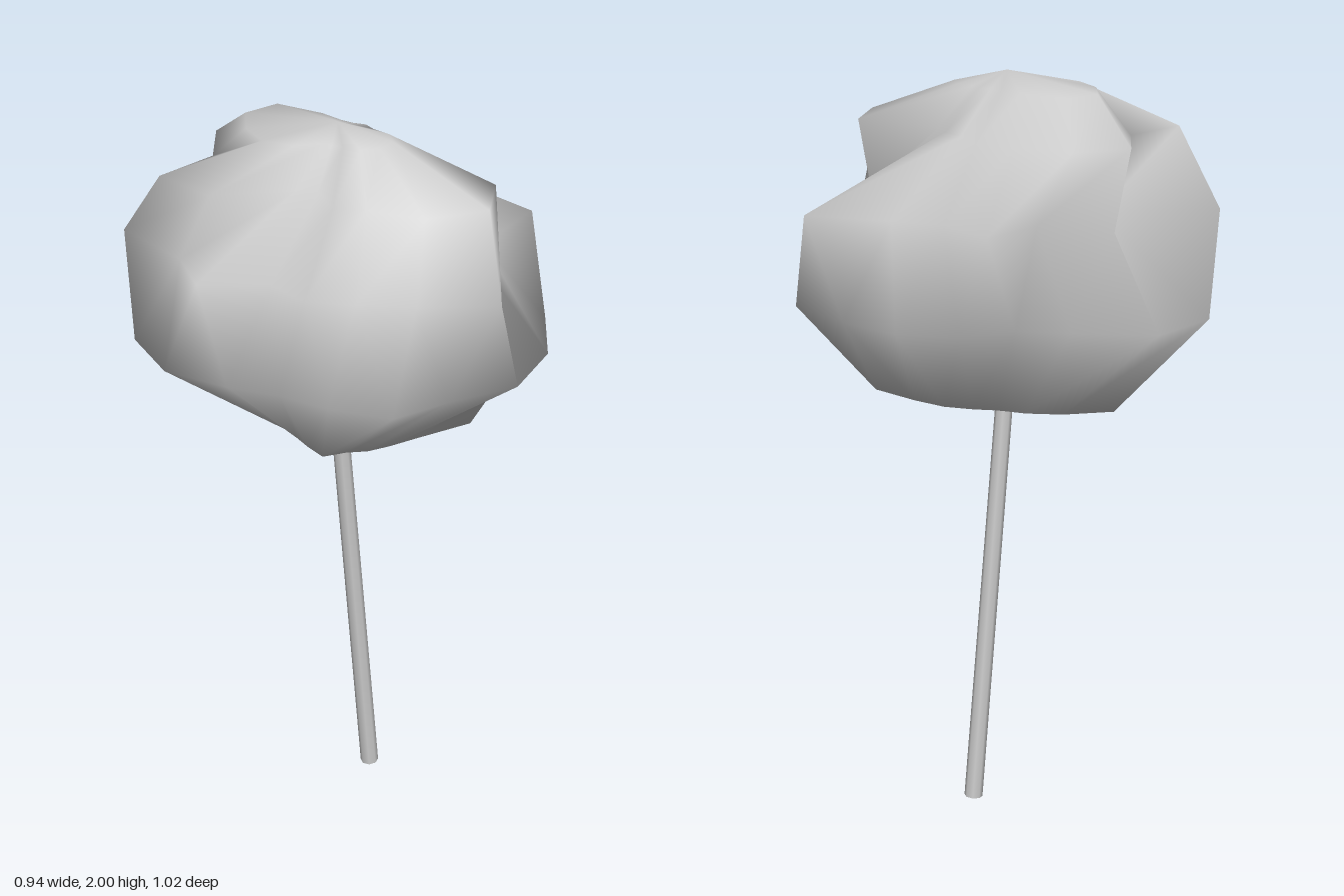
import * as THREE from 'three';

const SIDES = 17;
const STEP = (Math.PI * 2) / SIDES;
const START = THREE.MathUtils.degToRad(9.8);
const CENTRE_X = -0.035;

// Lumpy rings from bottom to top: height, then one radius per side.
// Every other ring is turned by half a step; skew is the number of sides by
// which the skin swirls on its way up to the next ring.
const RINGS = [
  { y: 1.155, half: 1, skew: -1, r: [.25, .34, .21, .17, .155, .145, .17, .14, .13, .14, .18, .33, .25, .20, .17, .18, .21] },
  { y: 1.41, half: 0, skew: -1, r: [.472, .543, .531, .508, .43, .44, .372, .338, .38, .469, .52, .552, .517, .375, .32, .387, .439] },
  { y: 1.67, half: 1, skew: -1, r: [.533, .36, .38, .512, .395, .34, .325, .28, .41, .40, .55, .28, .446, .30, .424, .325, .375] },
  { y: 1.86, half: 0, skew: -2, r: [.175, .17, .385, .415, .33, .22, .20, .12, .15, .336, .439, .335, .417, .375, .28, .25, .18] },
  { y: 1.965, half: 1, r: [.09, .12, .14, .13, .11, .08, .07, .07, .13, .19, .23, .27, .25, .14, .09, .08, .09] },
];

// Closed skin through the rings, with a pole at each end
function fluffGeometry() {
  const points = [];
  const index = [];
  RINGS.forEach(({ y, half, r }) => r.forEach((radius, i) => {
    const a = START + (i + half / 2) * STEP;
    points.push(CENTRE_X + radius * Math.cos(a), y, radius * Math.sin(a));
  }));
  const bottom = RINGS.length * SIDES;
  const top = bottom + 1;
  points.push(-0.03, 1.14, 0, -0.04, 2.0, 0);

  const at = (ring, i) => ring * SIDES + (i + SIDES) % SIDES;
  const last = RINGS.length - 1;
  for (let i = 0; i < SIDES; i++) {
    index.push(bottom, at(0, i), at(0, i + 1));
    for (let k = 0; k < last; k++) {
      const p = i + RINGS[k].skew;
      index.push(at(k, i), at(k + 1, p), at(k + 1, p + 1));
      index.push(at(k, i), at(k + 1, p + 1), at(k, i + 1));
    }
    index.push(at(last, i), top, at(last, i + 1));
  }

  const geometry = new THREE.BufferGeometry();
  geometry.setAttribute('position', new THREE.Float32BufferAttribute(points, 3));
  geometry.setIndex(index);
  geometry.computeVertexNormals();
  return geometry;
}

export function createModel() {
  const model = new THREE.Group();
  model.name = 'candyFlossOnStick';
  const grey = new THREE.MeshStandardMaterial({ color: 0xcccccc });
  grey.name = 'lightGrey';

  // Fluffy head
  const fluff = new THREE.Mesh(fluffGeometry(), grey);
  fluff.name = 'fluff';
  model.add(fluff);

  // Leaning stick
  const foot = new THREE.Vector3(0.077, 0.003, 0.002);
  const tip = new THREE.Vector3(-0.032, 1.18, -0.006);
  const axis = tip.clone().sub(foot);
  const stick = new THREE.Mesh(new THREE.CylinderGeometry(0.023, 0.025, axis.length(), 8), grey);
  stick.name = 'stick';
  stick.position.copy(foot).add(tip).multiplyScalar(0.5);
  stick.quaternion.setFromUnitVectors(new THREE.Vector3(0, 1, 0), axis.normalize());
  model.add(stick);

  return model;
}
